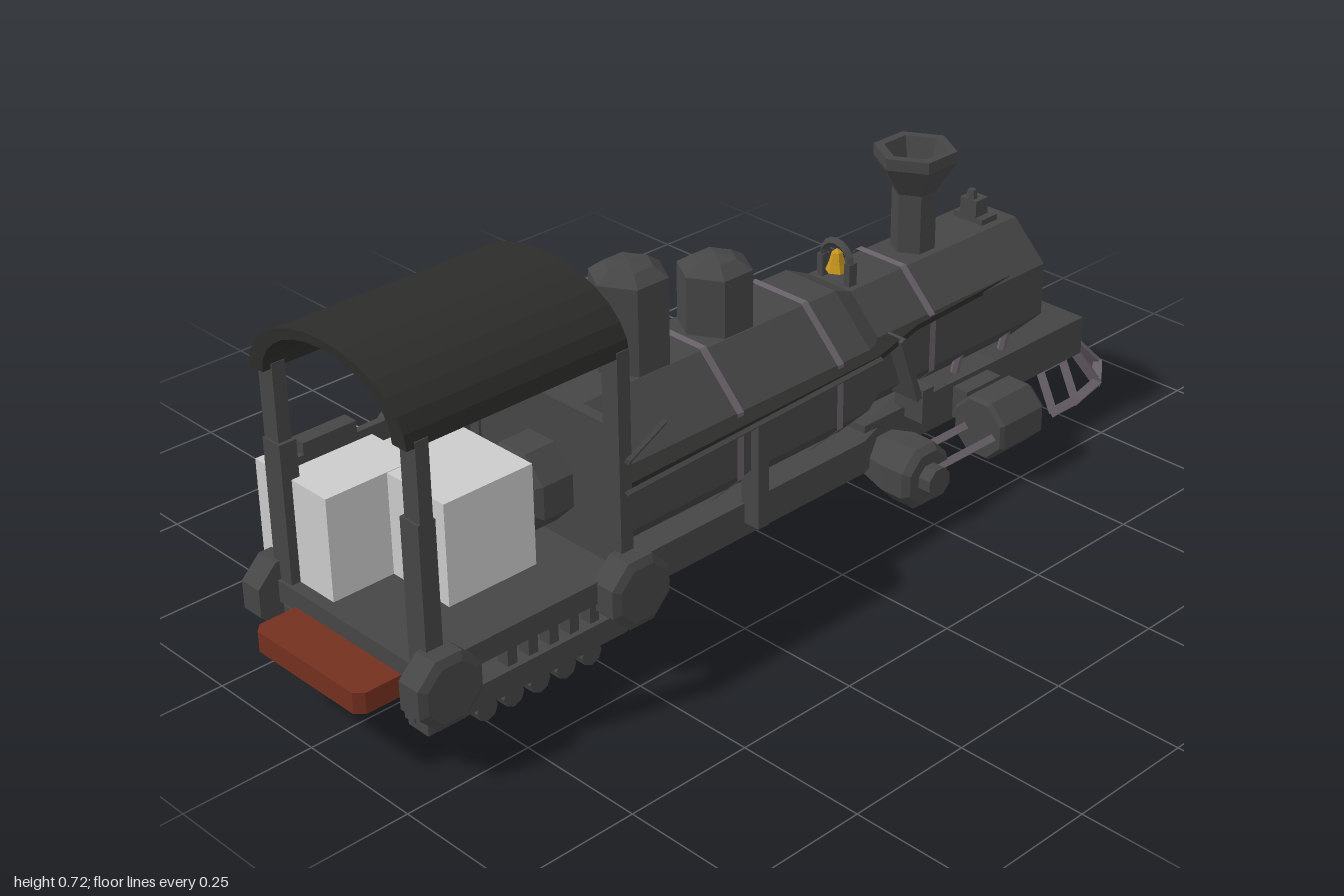
import * as THREE from 'three';

const material = (color) => new THREE.MeshStandardMaterial({ color, flatShading: true, side: THREE.DoubleSide });

export function createModel() {
  const model = new THREE.Group();
  const iron = material(0x464646), black = material(0x2c2c2a), steel = material(0x6a636a);
  const grey = material(0xcccccc), red = material(0x74301f), brass = material(0xc8961e);

  const add = (name, geometry, mat, x = 0, y = 0, z = 0) => {
    const mesh = new THREE.Mesh(geometry, mat);
    mesh.name = name;
    mesh.position.set(x, y, z);
    model.add(mesh);
    return mesh;
  };
  // Box given by its limits on each axis
  const box = (name, mat, x0, x1, y0, y1, z0, z1) =>
    add(name, new THREE.BoxGeometry(x1 - x0, y1 - y0, z1 - z0), mat, (x0 + x1) / 2, (y0 + y1) / 2, (z0 + z1) / 2);
  // Bar between two points
  const bar = (name, mat, a, b, r, sides = 6) => {
    const p = new THREE.Vector3(...a), q = new THREE.Vector3(...b);
    const mesh = add(name, new THREE.CylinderGeometry(r, r, p.distanceTo(q), sides), mat);
    mesh.position.copy(p).lerp(q, 0.5);
    mesh.quaternion.setFromUnitVectors(new THREE.Vector3(0, 1, 0), q.sub(p).normalize());
  };
  const lathe = (points, sides, phase = 0) =>
    new THREE.LatheGeometry(points.map(([r, h]) => new THREE.Vector2(r, h)), sides, phase);
  // Eight-sided solid lying along z, from [radius, z] pairs
  const along = (points) => lathe(points, 8, Math.PI / 8).rotateX(Math.PI / 2);
  // Eight-sided solid lying along x, from [radius, x] pairs
  const across = (points) => lathe(points, 8, Math.PI / 8).rotateZ(-Math.PI / 2);
  // Flat plate from [x, z] points, extruded upwards
  const plate = (name, mat, points, y0, y1) => {
    const shape = new THREE.Shape(points.map(([x, z]) => new THREE.Vector2(x, -z)));
    return add(name, new THREE.ExtrudeGeometry(shape, { depth: y1 - y0, bevelEnabled: false }).rotateX(-Math.PI / 2), mat, 0, y0, 0);
  };
  const mirrored = (half) => [...half, ...half.map(([x, z]) => [-x, z]).reverse()];

  // Boiler with tapered shoulder and blunt nose
  add('boiler', along([[0, -0.76], [0.065, -0.75], [0.125, -0.705], [0.14, -0.69], [0.14, -0.22], [0.163, -0.17],
    [0.168, 0.47], [0, 0.47]]), iron, 0, 0.297, 0);
  for (const [z, r] of [[0.17, 0.173], [-0.085, 0.171], [-0.36, 0.147]])
    add('boilerBand', along([[r, -0.008], [r, 0.008]]), steel, 0, 0.297, z);

  // Stack, domes, lamp
  add('smokestack', lathe([[0.043, 0.4], [0.043, 0.545], [0.08, 0.605], [0.08, 0.628], [0.06, 0.628], [0.035, 0.55], [0, 0.55]], 6), iron, 0, 0, -0.45);
  add('steamDome', lathe([[0.072, 0.42], [0.072, 0.615], [0.045, 0.634], [0, 0.64]], 6), iron, 0, 0, 0.28);
  add('sandDome', lathe([[0.07, 0.42], [0.07, 0.56], [0.04, 0.578], [0, 0.586]], 6), iron, 0, 0, 0.075);
  box('lampBase', iron, -0.036, 0.036, 0.42, 0.438, -0.655, -0.61);
  box('lamp', iron, -0.02, 0.02, 0.438, 0.472, -0.645, -0.61);
  add('lampCap', new THREE.CylinderGeometry(0.008, 0.012, 0.02, 6), iron, 0, 0.48, -0.62);

  // Bell in its hoop
  add('bell', lathe([[0.022, 0.445], [0.016, 0.46], [0.01, 0.482], [0, 0.49]], 6), brass, 0, 0, -0.24);
  add('bellHoop', new THREE.TorusGeometry(0.034, 0.009, 4, 8, Math.PI), iron, 0, 0.468, -0.24);
  for (const s of [-1, 1]) box('bellPost', iron, s * 0.034 - 0.007, s * 0.034 + 0.007, 0.41, 0.47, -0.25, -0.23);

  // Underframe and front deck
  plate('underframe', iron, mirrored([[0.14, 0.48], [0.135, -0.18], [0.11, -0.25], [0.11, -0.6]]), 0.092, 0.16);
  const deck = plate('frontDeck', iron, mirrored([[0.115, -0.2], [0.115, -0.845], [0.06, -0.918]]), 0.095, 0.175);
  const dp = deck.geometry.attributes.position;
  for (let i = 0; i < dp.count; i++) // slope the leading edge of the deck
    if (dp.getY(i) > 0.04 && dp.getZ(i) < -0.9) dp.setY(i, 0.035);
  deck.geometry.computeVertexNormals();

  // Cowcatcher: curved rim below, broad slats fanning out from the deck
  const arc = (rx, rz, y, t) => new THREE.Vector3(rx * Math.cos(t), y, -0.8 - rz * Math.sin(t));
  const sweep = (rx, rz, y) => [new THREE.Vector3(rx, y, -0.73),
    ...Array.from({ length: 7 }, (_, i) => arc(rx, rz, y, (i / 6) * Math.PI)), new THREE.Vector3(-rx, y, -0.73)];
  const rim = sweep(0.143, 0.186, 0.013), head = sweep(0.104, 0.102, 0.092);
  rim.forEach((p, i) => {
    bar('cowcatcherSlat', steel, p.toArray(), head[i].toArray(), 0.012, 4);
    if (i) {
      bar('cowcatcherRim', steel, rim[i - 1].toArray(), p.toArray(), 0.013, 4);
      bar('cowcatcherHead', steel, head[i - 1].toArray(), head[i].toArray(), 0.01, 4);
    }
  });

  // Cab floor, bulkhead, backhead and buffer beam
  box('cabFloor', iron, -0.195, 0.195, 0.158, 0.2, 0.465, 0.912);
  box('cabBulkhead', iron, -0.2, 0.2, 0.16, 0.465, 0.463, 0.485);
  add('backhead', along([[0.083, 0.48], [0.083, 0.55], [0.065, 0.565], [0, 0.565]]), iron, 0, 0.305, 0);
  add('valveWheel', new THREE.TorusGeometry(0.017, 0.006, 4, 8), red, 0.05, 0.31, 0.57);
  const w = 0.14, c = 0.125;
  plate('bufferBeam', red, mirrored([[w, 0.91], [w, 0.985], [c, 1]]), 0.128, 0.168);

  // Closed side of the cab with its fittings
  box('cabSideWall', iron, -0.2, -0.185, 0.18, 0.41, 0.47, 0.9);
  add('sideReel', across([[0, -0.2], [0.055, -0.2], [0.055, -0.214], [0.045, -0.22], [0, -0.22]]), iron, 0, 0.36, 0.635);
  box('sideCabinet', iron, -0.216, -0.185, 0.38, 0.432, 0.73, 0.84);

  // Pale boxes in the cab, one reaching over the side
  box('rearBox', grey, -0.255, -0.065, 0.2, 0.395, 0.7, 0.888);
  box('innerBox', grey, -0.155, 0.08, 0.2, 0.394, 0.575, 0.763);

  // Arched roof
  const roof = new THREE.Shape();
  const half = (rx, ry, i) => new THREE.Vector2(rx * Math.cos(i * Math.PI / 14), 0.6 + ry * Math.sin(i * Math.PI / 14));
  const steps = Array.from({ length: 15 }, (_, i) => i);
  roof.setFromPoints([...steps.map((i) => half(0.2, 0.118, i)), ...steps.map((i) => half(0.165, 0.102, 14 - i))]);
  add('cabRoof', new THREE.ExtrudeGeometry(roof, { depth: 0.455, bevelEnabled: false }), black, 0, 0, 0.463);

  // Rods slung beneath the cab
  for (const z of [0.774, 0.717, 0.66, 0.602, 0.545]) {
    bar('underRod', iron, [-0.14, 0.053, z], [0.14, 0.053, z], 0.01, 8);
    for (const s of [-1, 1]) bar('underRodEnd', iron, [s * 0.13, 0.053, z], [s * 0.18, 0.053, z], 0.022, 8);
  }

  for (const s of [-1, 1]) {
    const span = (name, mat, x0, x1, ...rest) => box(name, mat, Math.min(s * x0, s * x1), Math.max(s * x0, s * x1), ...rest);

    // Cab posts and grab rails
    span('rearPost', iron, 0.162, 0.2, 0.2, 0.61, 0.876, 0.902);
    span('rearPostFoot', iron, 0.155, 0.2, 0.165, 0.465, 0.872, 0.906);
    span('frontPost', iron, 0.162, 0.2, 0.2, 0.61, 0.463, 0.49);
    bar('grabRail', iron, [s * 0.208, 0.41, 0.48], [s * 0.15, 0.41, 0.34], 0.006, 4);
    bar('handRail', iron, [s * 0.207, 0.35, 0.48], [s * 0.178, 0.35, -0.17], 0.006, 4);

    // Eight-sided wheels at the cab corners, with side frame between
    for (const z of [0.887, 0.477])
      add('cabWheel', across([[0, s * 0.185], [0.07, s * 0.185], [0.07, s * 0.232], [0.055, s * 0.24], [0, s * 0.24]]), iron, 0, 0.17, z);
    span('sideFrame', iron, 0.15, 0.2, 0.078, 0.122, 0.48, 0.912);
    for (let i = 0; i < 5; i++) span('frameSpacer', iron, 0.165, 0.19, 0.12, 0.16, 0.535 + i * 0.045, 0.555 + i * 0.045);
    span('frameHanger', iron, 0.145, 0.17, 0.09, 0.16, 0.885, 0.915);

    // Running board and its supports
    plate('runningBoard', black, [[s * 0.1, 0.47], [s * 0.195, 0.47], [s * 0.175, -0.17], [s * 0.14, -0.31], [s * 0.125, -0.59], [s * 0.1, -0.59]], 0.345, 0.356);
    span('boardBrace', iron, 0.13, 0.172, 0.12, 0.346, 0.112, 0.138);
    span('shortBrace', iron, 0.09, 0.16, 0.155, 0.225, -0.34, -0.31);
    const brace = span('slopingBrace', iron, 0.1, 0.165, 0.21, 0.36, -0.277, -0.263);
    brace.rotation.x = 0.35;
    for (const z of [-0.36, -0.5, -0.64]) bar('deckStay', steel, [s * 0.075, 0.165, z], [s * 0.085, 0.21, z], 0.009, 6);

    // Leading wheel with hub, steam cylinder and the rods joining them
    add('leadingWheel', across([[0, s * 0.1], [0.05, s * 0.1], [0.067, s * 0.165], [0.067, s * 0.215], [0.055, s * 0.228], [0.03, s * 0.228], [0.03, s * 0.255], [0, s * 0.255]]), iron, 0, 0.09, -0.255);
    add('steamCylinder', along([[0, -0.568], [0.055, -0.568], [0.066, -0.555], [0.066, -0.445], [0.06, -0.437], [0, -0.437]]), iron, s * 0.19, 0.108, 0);
    span('cylinderSaddle', iron, 0.09, 0.15, 0.1, 0.165, -0.55, -0.45);
    for (const x of [0.158, 0.226]) bar('slideBar', steel, [s * x, 0.1, -0.45], [s * x, 0.1, -0.28], 0.01, 4);
  }
  return model;
}
